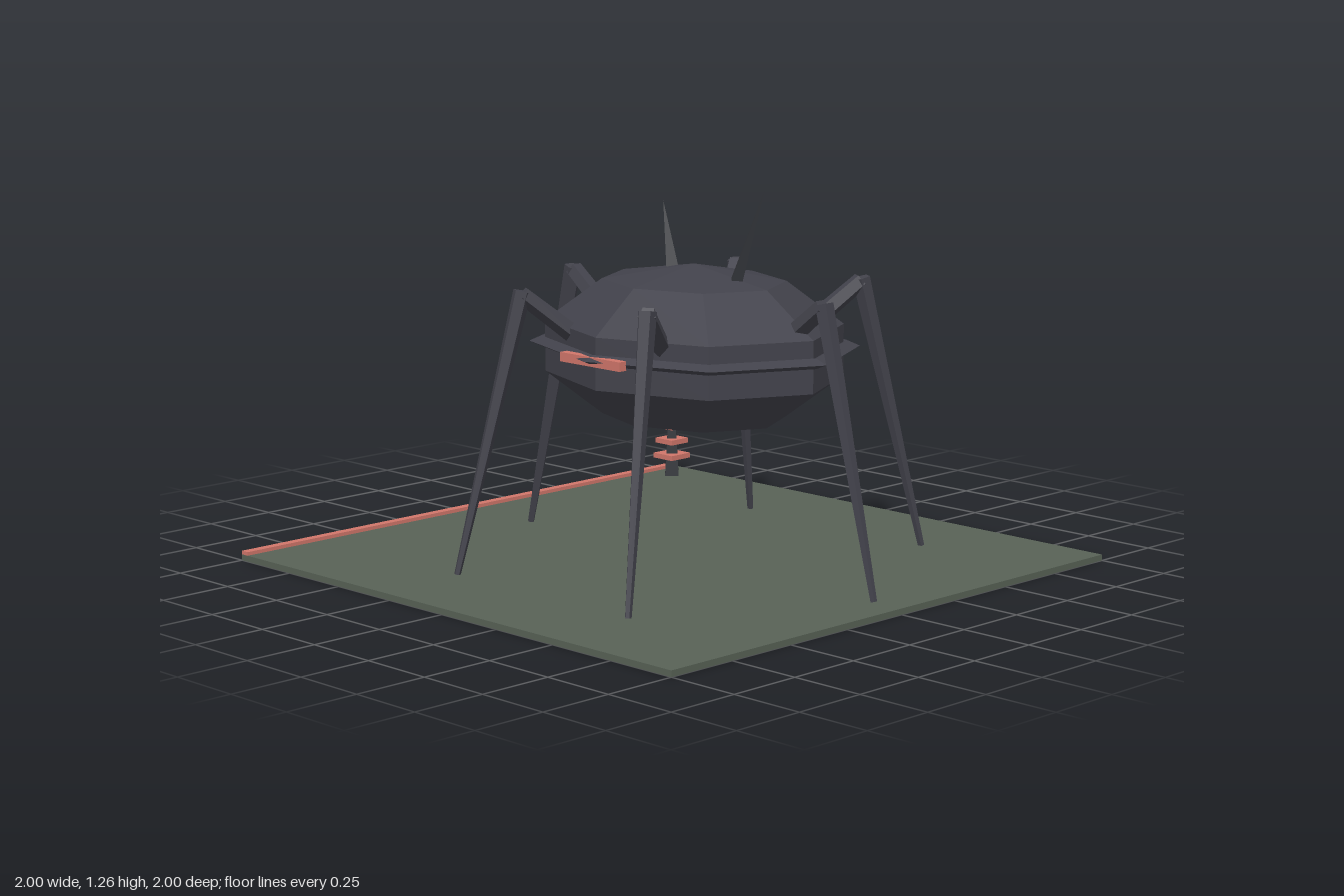
import * as THREE from 'three';

const mat = (name, color) => {
  const m = new THREE.MeshStandardMaterial({ color });
  m.name = name;
  return m;
};

// Flat-faced mesh: every facet keeps its own normal
function facet(name, geometry, material, x = 0, y = 0, z = 0) {
  const g = geometry.index ? geometry.toNonIndexed() : geometry;
  g.computeVertexNormals();
  const mesh = new THREE.Mesh(g, material);
  mesh.name = name;
  mesh.position.set(x, y, z);
  return mesh;
}

// Tapered bar running from point a to point b
function bar(name, a, b, ra, rb, sides, material) {
  const dir = b.clone().sub(a);
  const mid = a.clone().add(b).multiplyScalar(0.5);
  const mesh = facet(name, new THREE.CylinderGeometry(rb, ra, dir.length(), sides), material, mid.x, mid.y, mid.z);
  mesh.quaternion.setFromUnitVectors(new THREE.Vector3(0, 1, 0), dir.normalize());
  return mesh;
}

export function createModel() {
  const hull = mat('charcoal hull', 0x42424b);
  const dark = mat('dark spike', 0x34363b);
  const coral = mat('coral light', 0xd0766a);
  const ground = mat('moss plate', 0x586256);
  const V = (x, y, z) => new THREE.Vector3(x, y, z);
  const box = (name, w, h, d, m, x, y, z) => facet(name, new THREE.BoxGeometry(w, h, d), m, x, y, z);

  const model = new THREE.Group();
  model.name = 'walker';

  // Ground plate with a kerb along the back edge
  model.add(box('groundPlate', 2, 0.02, 2, ground, 0, 0.01, 0));
  model.add(box('backKerb', 2, 0.012, 0.03, coral, 0, 0.026, -0.985));

  // Faceted body and its sharp belt
  const body = new THREE.Group();
  body.name = 'body';
  body.position.z = 0.1;
  model.add(body);
  const shell = new THREE.SphereGeometry(1, 8, 5);
  shell.scale(0.461, 0.2735, 0.551);
  body.add(facet('shell', shell, hull, 0, 0.724, 0));
  const belt = new THREE.TorusGeometry(0.45, 0.037, 4, 8);
  belt.scale(1, 1.19, 0.46);
  belt.rotateX(-Math.PI / 2);
  body.add(facet('belt', belt, hull, 0, 0.738, 0));

  // Light strips on both sides and at the back
  for (const s of [-1, 1]) body.add(box('sideLight', 0.03, 0.03, 0.27, coral, s * 0.45, 0.735, 0));
  body.add(box('backLight', 0.24, 0.03, 0.032, coral, 0, 0.735, -0.536));

  // Six legs spaced evenly around the body, each bent at the knee
  for (let i = 0; i < 6; i++) {
    const leg = new THREE.Group();
    leg.name = 'leg';
    leg.rotation.y = (i * Math.PI) / 3;
    leg.add(bar('thigh', V(0, 0.765, 0.37), V(0, 0.92, 0.565), 0.034, 0.03, 5, hull));
    leg.add(bar('shin', V(0, 0.93, 0.565), V(0, 0.02, 0.785), 0.031, 0.011, 5, hull));
    body.add(leg);
  }

  // Two leaning spikes on top
  model.add(bar('frontSpike', V(0, 0.92, 0.275), V(0, 1.26, 0.41), 0.028, 0, 4, dark));
  model.add(bar('rearSpike', V(0, 0.95, 0.007), V(0, 1.19, -0.04), 0.031, 0, 4, dark));

  // Beacon pylon in the back corner with three square rings
  const pylon = new THREE.Group();
  pylon.name = 'pylon';
  pylon.position.set(0.877, 0, -0.88);
  pylon.add(facet('pylonSpire', new THREE.ConeGeometry(0.035, 0.44, 4), dark, 0, 0.24, 0));
  [0.094, 0.15, 0.205].forEach((y, i) => {
    const w = 0.094 - i * 0.01;
    pylon.add(box('pylonRing', w, 0.018, w, coral, 0, y, 0));
  });
  model.add(pylon);

  return model;
}
